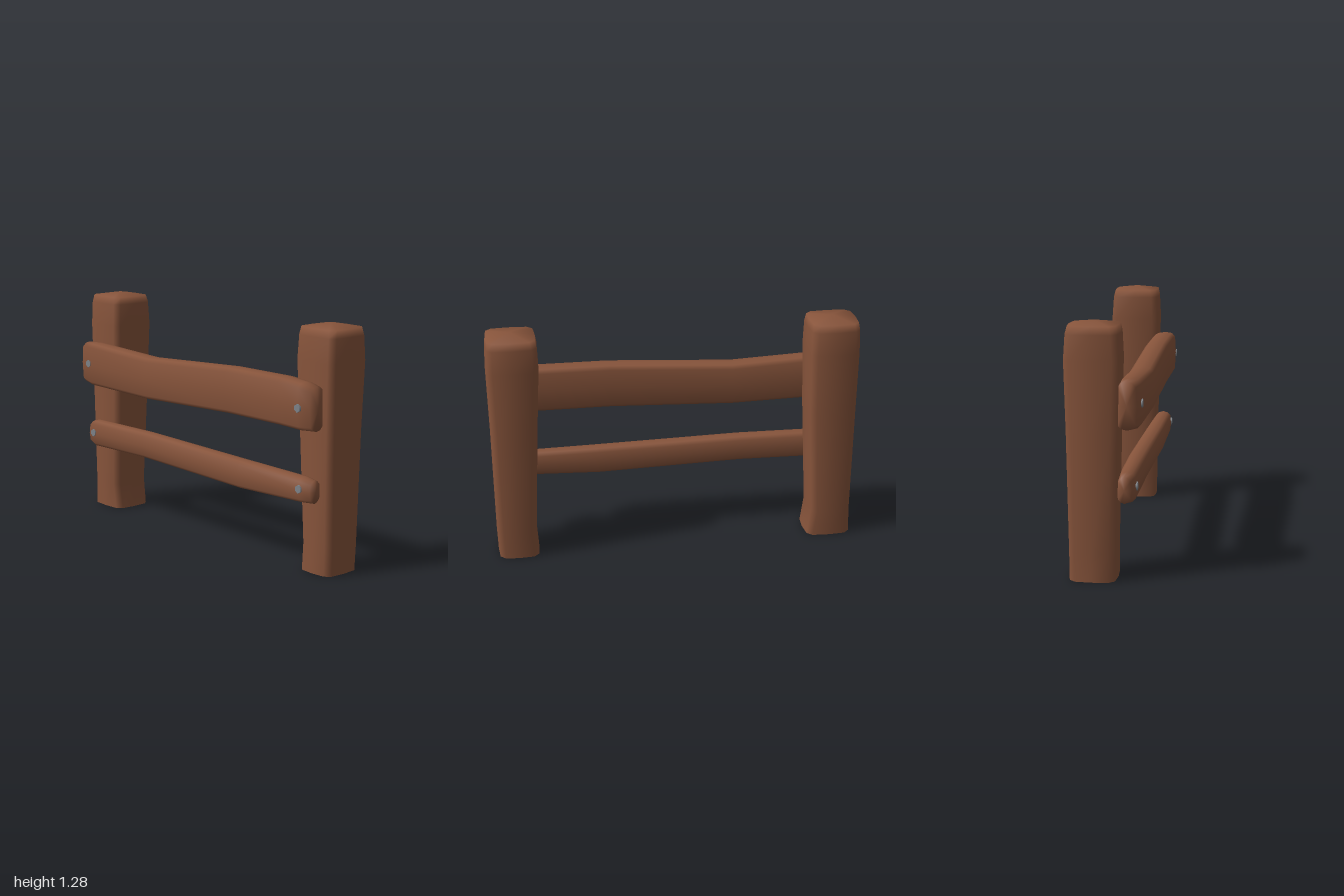
import * as THREE from 'three';

// Rounded rectangle outline, 12 points, counter-clockwise in (u, v)
function section([u0, u1, v0, v1], bevel, inset) {
  const cu = (u0 + u1) / 2, cv = (v0 + v1) / 2;
  const a = (u1 - u0) / 2, b = (v1 - v0) / 2;
  const pts = [];
  for (let k = 0; k < 4; k++) {
    const [p, q] = k % 2 ? [b, a] : [a, b];
    for (const [x, y] of [[p - inset, -(q - bevel)], [p, 0], [p - inset, q - bevel]]) {
      const r = [[x, y], [-y, x], [-x, -y], [y, -x]][k];
      pts.push([cu + r[0], cv + r[1]]);
    }
  }
  return pts;
}

// Skins rings [w, u0, u1, v0, v1]; caps are points pushed out from the end rings
function loft(rings, place, { bevel, inset, startCap, endCap }) {
  const pos = [], idx = [], n = 12;
  rings.forEach(([w, ...box]) => section(box, bevel, inset).forEach(([u, v]) => pos.push(...place(u, v, w))));
  for (let i = 0; i < rings.length - 1; i++) {
    for (let j = 0; j < n; j++) {
      const a = i * n + j, b = i * n + (j + 1) % n;
      idx.push(a, b, b + n, a, b + n, a + n);
    }
  }
  const cap = (i, w, flip) => {
    const [, u0, u1, v0, v1] = rings[i];
    const c = pos.length / 3;
    pos.push(...place((u0 + u1) / 2, (v0 + v1) / 2, w));
    for (let j = 0; j < n; j++) {
      const a = i * n + j, b = i * n + (j + 1) % n;
      idx.push(...(flip ? [b, a, c] : [a, b, c]));
    }
  };
  if (startCap !== undefined) cap(0, startCap, true);
  if (endCap !== undefined) cap(rings.length - 1, endCap, false);
  const g = new THREE.BufferGeometry();
  g.setAttribute('position', new THREE.Float32BufferAttribute(pos, 3));
  g.setIndex(idx);
  g.computeVertexNormals();
  return g;
}

export function createModel() {
  const wood = new THREE.MeshStandardMaterial({ color: 0x87543b, side: THREE.DoubleSide });
  wood.name = 'brown wood';
  const metal = new THREE.MeshStandardMaterial({ color: 0x7d8288 });
  metal.name = 'grey metal';

  const model = new THREE.Group();
  model.name = 'fence';
  const add = (name, geometry, material) => {
    const mesh = new THREE.Mesh(geometry, material);
    mesh.name = name;
    model.add(mesh);
    return mesh;
  };

  // Posts, open underneath with a low domed top: [y, z0, z1, x0, x1]
  const alongY = (z, x, y) => [x, y, z];
  const postShape = { bevel: 0.035, inset: 0.006, endCap: 1.285 };
  add('rightPost', loft([
    [0.005, -0.165, 0.072, -1.0, -0.745],
    [0.15, -0.168, 0.074, -0.995, -0.765],
    [0.75, -0.18, 0.083, -0.998, -0.735],
    [1.1, -0.19, 0.09, -1.0, -0.725],
    [1.225, -0.182, 0.084, -0.998, -0.728],
    [1.265, -0.172, 0.076, -0.992, -0.735],
  ], alongY, postShape), wood);
  add('leftPost', loft([
    [0.005, -0.165, 0.072, 0.755, 0.98],
    [0.15, -0.168, 0.074, 0.765, 0.985],
    [0.75, -0.18, 0.083, 0.738, 0.992],
    [1.1, -0.19, 0.09, 0.72, 1.0],
    [1.225, -0.182, 0.084, 0.725, 0.997],
    [1.265, -0.172, 0.076, 0.732, 0.992],
  ], alongY, postShape), wood);

  // Rails, slightly wavy: [x, y0, y1, z0, z1]
  const alongX = (y, z, x) => [x, y, z];
  add('upperRail', loft([
    [-0.945, 0.758, 0.995, 0.07, 0.172],
    [-0.86, 0.748, 1.0, 0.062, 0.188],
    [-0.35, 0.74, 0.977, 0.056, 0.19],
    [0.33, 0.765, 1.015, 0.058, 0.19],
    [0.72, 0.765, 1.016, 0.058, 0.19],
    [0.86, 0.76, 1.005, 0.062, 0.187],
    [0.932, 0.762, 0.99, 0.07, 0.168],
  ], alongX, { bevel: 0.025, inset: 0.006, startCap: -0.95, endCap: 0.942 }), wood);
  add('lowerRail', loft([
    [-0.925, 0.388, 0.522, 0.07, 0.145],
    [-0.87, 0.38, 0.536, 0.065, 0.162],
    [-0.4, 0.39, 0.54, 0.06, 0.165],
    [0.4, 0.37, 0.525, 0.06, 0.165],
    [0.85, 0.385, 0.52, 0.065, 0.162],
    [0.915, 0.388, 0.51, 0.07, 0.145],
  ], alongX, { bevel: 0.022, inset: 0.006, startCap: -0.932, endCap: 0.922 }), wood);

  // Nail heads
  const nail = new THREE.CylinderGeometry(0.022, 0.022, 0.009, 6).rotateX(Math.PI / 2);
  for (const [name, x, y, z] of [
    ['upperRightNail', -0.865, 0.88, 0.187], ['upperLeftNail', 0.865, 0.88, 0.187],
    ['lowerRightNail', -0.862, 0.465, 0.162], ['lowerLeftNail', 0.853, 0.461, 0.162],
  ]) add(name, nail, metal).position.set(x, y, z);

  return model;
}
